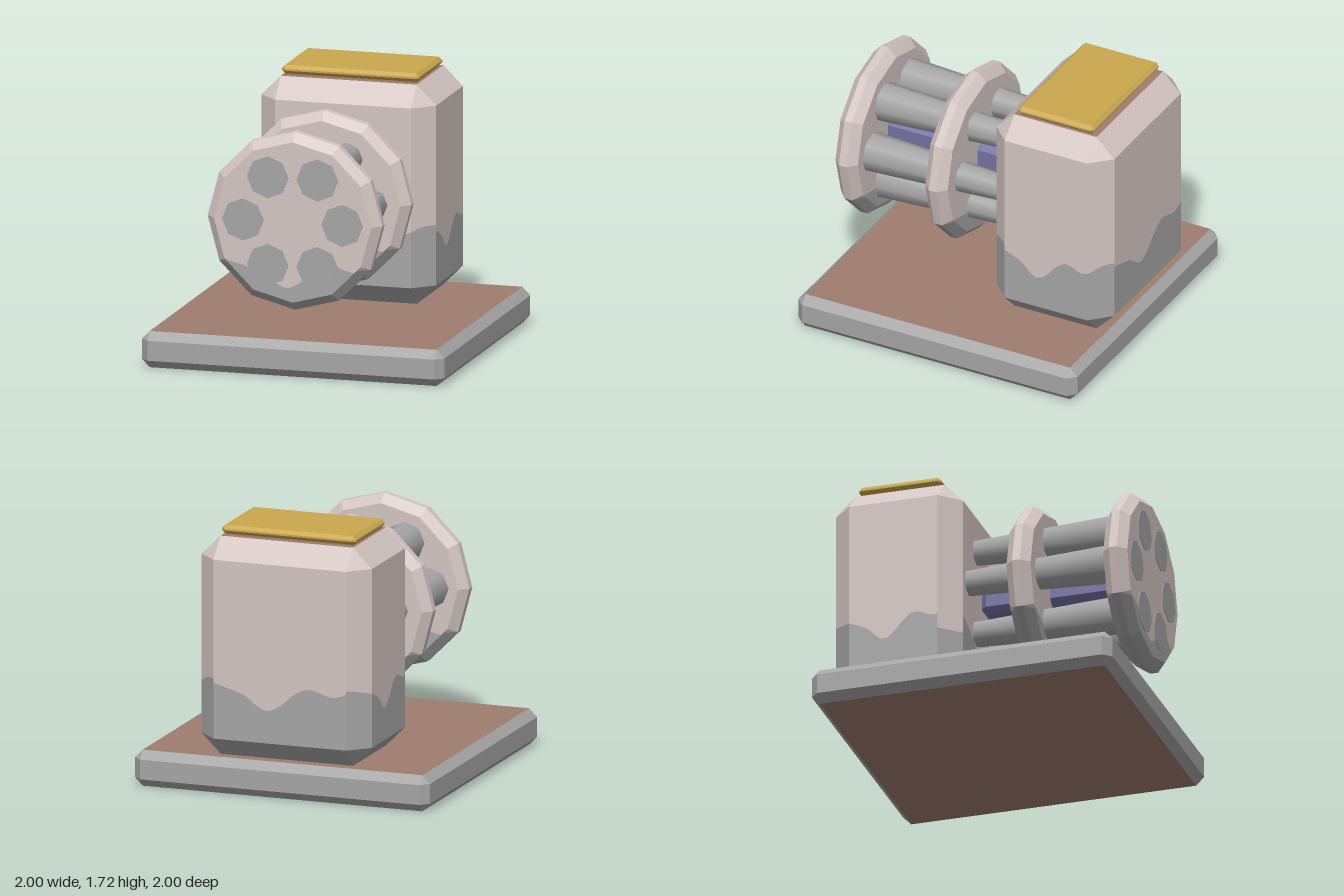
import * as THREE from 'three';
import { ConvexGeometry } from 'three/addons/geometries/ConvexGeometry.js';

const material = (name, color) => Object.assign(new THREE.MeshStandardMaterial({ color }), { name });
const pink = material('pale pink paint', 0xd4c6c2);
const grey = material('grey metal', 0xa5a5a5);
const brown = material('brown panel', 0x9f7d6e);
const gold = material('gold', 0xcaa74e);
const purple = material('purple shaft', 0x7371a3);

// Box with every edge chamfered by c; min and max are [x, y, z]
function chamferBox(min, max, c) {
  const points = [];
  for (let i = 0; i < 8; i++) {
    const corner = [0, 1, 2].map((k) => ((i >> k) & 1 ? max[k] : min[k]));
    for (let full = 0; full < 3; full++) {
      points.push(new THREE.Vector3(...corner.map((v, k) =>
        (k === full ? v : v + ((i >> k) & 1 ? -c : c)))));
    }
  }
  return new ConvexGeometry(points);
}

// Calls fn(a, b, c, normal) for every triangle that has an area
function eachTriangle(geometry, fn) {
  const p = (geometry.index ? geometry.toNonIndexed() : geometry).getAttribute('position');
  for (let i = 0; i < p.count; i += 3) {
    const [a, b, c] = [0, 1, 2].map((k) => new THREE.Vector3().fromBufferAttribute(p, i + k));
    const n = b.clone().sub(a).cross(c.clone().sub(a));
    if (n.length() > 1e-7) fn(a, b, c, n.normalize());
  }
}

// Flat-shaded mesh from lists of points, one list for each material
function groupedMesh(name, lists, materials) {
  const geometry = new THREE.BufferGeometry().setFromPoints(lists.flat());
  let start = 0;
  lists.forEach((list, i) => {
    geometry.addGroup(start, list.length, i);
    start += list.length;
  });
  geometry.computeVertexNormals();
  const mesh = new THREE.Mesh(geometry, materials);
  mesh.name = name;
  return mesh;
}

// Height of the paint line across a face, u running left to right from outside
const waveCurve = new THREE.SplineCurve([
  [0, 0.75], [0.1, 0.73], [0.2, 0.7], [0.3, 0.66], [0.37, 0.6], [0.43, 0.575], [0.5, 0.61],
  [0.57, 0.68], [0.64, 0.73], [0.7, 0.735], [0.8, 0.7], [0.87, 0.715], [0.94, 0.75], [1, 0.755],
].map(([u, y]) => new THREE.Vector2(u, y)));
const waveTable = waveCurve.getPoints(300);
function waveHeight(u) {
  const i = waveTable.findIndex((p) => p.x >= u);
  return waveTable[i < 0 ? waveTable.length - 1 : i].y;
}

// Splits a geometry along the paint line: index 0 above, 1 below, 2 flat top
function paintedMesh(name, geometry, line) {
  const lists = [[], [], []];
  const clip = (tri, n) => {
    const f = tri.map((p) => p.y - line(p, n));
    for (const side of [0, 1]) {
      const sign = side ? -1 : 1;
      const poly = [];
      tri.forEach((p, i) => {
        const j = (i + 1) % 3;
        if (f[i] * sign >= 0) poly.push(p);
        if (f[i] * f[j] < 0) poly.push(p.clone().lerp(tri[j], f[i] / (f[i] - f[j])));
      });
      for (let i = 2; i < poly.length; i++) lists[side].push(poly[0], poly[i - 1], poly[i]);
    }
  };
  const divide = (tri, n) => {
    const ys = tri.map((p) => p.y);
    if (Math.min(...ys) > 0.79) return lists[0].push(...tri);
    if (Math.max(...ys) < 0.55) return lists[1].push(...tri);
    const lengths = tri.map((p, i) => p.distanceTo(tri[(i + 1) % 3]));
    const longest = Math.max(...lengths);
    if (longest < 0.045) return clip(tri, n);
    const i = lengths.indexOf(longest);
    const [a, b, c] = [tri[i], tri[(i + 1) % 3], tri[(i + 2) % 3]];
    const m = a.clone().lerp(b, 0.5);
    divide([a, m, c], n);
    divide([m, b, c], n);
  };
  eachTriangle(geometry, (a, b, c, n) => {
    if (n.y > 0.99 && a.y > 1.6) lists[2].push(a, b, c);
    else divide([a, b, c], n);
  });
  return groupedMesh(name, lists, [pink, grey, brown]);
}

export function createModel() {
  const model = new THREE.Group();
  model.name = 'barrelTurret';
  const add = (name, geometry, mat) => {
    const mesh = new THREE.Mesh(geometry, mat);
    mesh.name = name;
    model.add(mesh);
    return mesh;
  };

  // Base slab: grey rim with brown top and bottom
  const baseLists = [[], []];
  eachTriangle(chamferBox([-1, 0, -1], [1, 0.235, 1], 0.053), (a, b, c, n) =>
    baseLists[Math.abs(n.y) > 0.99 ? 1 : 0].push(a, b, c));
  model.add(groupedMesh('base', baseLists, [grey, brown]));

  // Housing with a wavy two-tone paint line
  const back = -1, front = -0.155, half = 0.577;
  model.add(paintedMesh('housing',
    chamferBox([-half, 0.235, back], [half, 1.657, front], 0.128), (p, n) => {
      if (n.x < -0.5 && n.z > 0.5) return 0.605;
      const u = Math.abs(n.x) >= Math.abs(n.z)
        ? 0.5 - Math.sign(n.x) * (p.z - (back + front) / 2) / (front - back)
        : 0.5 + Math.sign(n.z) * p.x / (2 * half);
      return waveHeight(u);
    }));

  // Gold lid
  add('lid', chamferBox([-0.455, 1.664, -0.85], [0.455, 1.72, -0.305], 0.022), gold);
  add('lidSeat', new THREE.BoxGeometry(0.86, 0.03, 0.5).translate(0, 1.66, -0.578), brown);

  // Twelve-sided barrel clamps
  const profile = [[0, -0.08], [0.52, -0.08], [0.577, -0.026], [0.577, 0.026], [0.52, 0.08], [0, 0.08]]
    .map(([r, y]) => new THREE.Vector2(r, y));
  for (const [name, z] of [['frontClamp', 0.88], ['middleClamp', 0.237]]) {
    const disc = new THREE.LatheGeometry(profile, 12).rotateX(Math.PI / 2).translate(0, 1.002, z);
    model.add(paintedMesh(name, disc, (p, n) =>
      (Math.abs(n.z) > 0.9 ? waveHeight(0.46 + Math.sign(n.z) * p.x / 1.154) : 0.715)));
  }

  // Ring of six tapered eight-sided barrels
  const barrel = new THREE.CylinderGeometry(0.137, 0.083, 1.165, 8).rotateX(Math.PI / 2);
  for (let i = 0; i < 6; i++) {
    const angle = i * Math.PI / 3;
    add('barrel' + (i + 1), barrel, grey)
      .position.set(0.328 * Math.cos(angle), 1.002 + 0.328 * Math.sin(angle), 0.3825);
  }

  // Central drive shaft
  add('driveShaft', chamferBox([-0.115, 0.888, -0.15], [0.115, 1.12, 0.84], 0.04), purple);

  return model;
}
